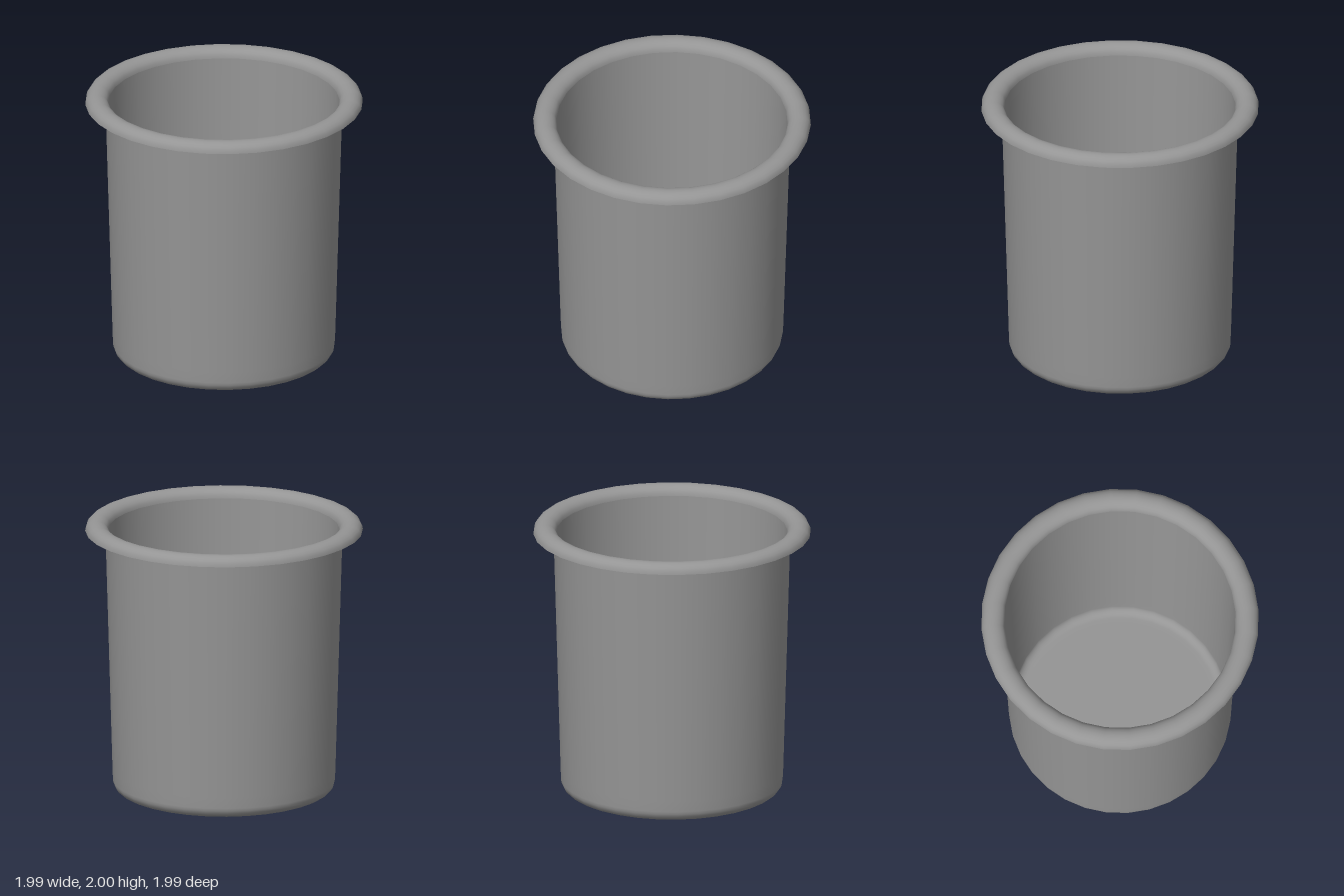
import * as THREE from 'three';

const SIDES = 32;

// Revolves one smooth stretch of the profile; separate stretches meet in creases
function revolve(name, points, material) {
  const profile = points.map(([r, y]) => new THREE.Vector2(r, y));
  const mesh = new THREE.Mesh(new THREE.LatheGeometry(profile, SIDES), material);
  mesh.name = name;
  return mesh;
}

// Points of an elliptical arc, angles in degrees
function arc(cx, cy, rx, ry, from, to, steps) {
  return Array.from({ length: steps + 1 }, (_, i) => {
    const a = THREE.MathUtils.degToRad(from + ((to - from) * i) / steps);
    return [cx + rx * Math.cos(a), cy + ry * Math.sin(a)];
  });
}

export function createModel() {
  const group = new THREE.Group();
  group.name = 'cup';
  const material = new THREE.MeshStandardMaterial({ color: 0x959595, side: THREE.DoubleSide });

  // Outside: flat base, rounded bottom corner, gently flaring wall
  group.add(revolve('outerWall', [
    [0, 0], [0.68, 0],
    ...arc(0.71, 0.08, 0.085, 0.08, -90, 0, 6),
    [0.798, 0.16], [0.849, 1.93],
  ], material));

  // Rolled rim: hollow underside, thin lower edge, rounded top
  group.add(revolve('rimUnderside', arc(0.911, 1.93, 0.062, 0.048, 180, 0, 8), material));
  group.add(revolve('rimEdge', [[0.973, 1.93], [0.994, 1.93]], material));
  group.add(revolve('rimTop', arc(0.911, 1.93, 0.083, 0.07, 0, 180, 10), material));

  // Inside: wall, rounded corner and floor
  group.add(revolve('innerWall', [
    [0.828, 1.93], [0.776, 0.16],
    ...arc(0.71, 0.09, 0.064, 0.068, 0, -90, 6),
    [0.68, 0.022], [0, 0.022],
  ], material));

  return group;
}
